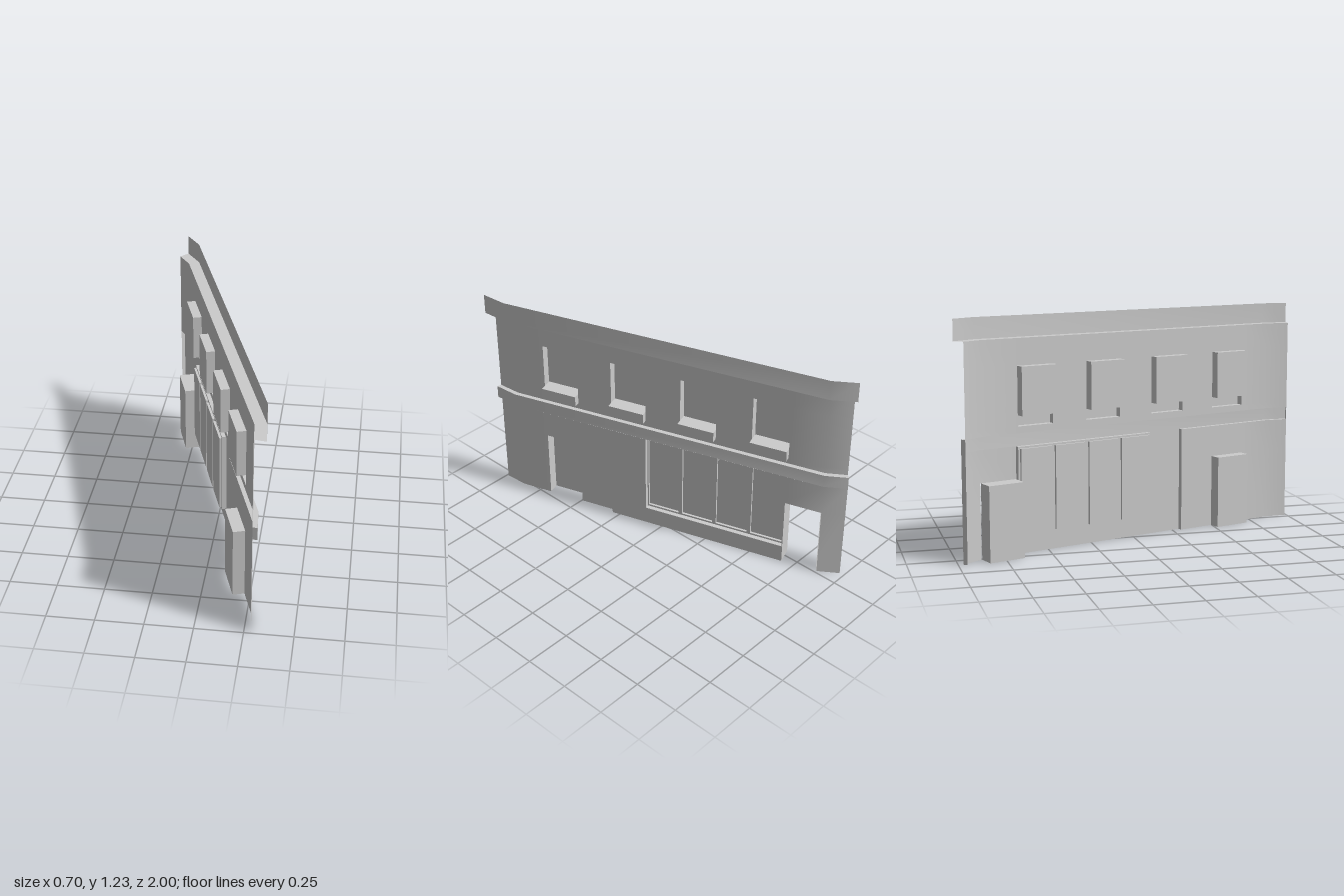
import * as THREE from 'three';
import { toCreasedNormals } from 'three/addons/utils/BufferGeometryUtils.js';

// Plan of the wall: [x, z, outward x, outward z] at its two ends and two bends
const KNOTS = [
  [0.285, 0.99, 0.985, 0.16],
  [0.275, 0.86, 0.98, -0.1],
  [-0.285, -0.86, 0.89, -0.46],
  [-0.35, -0.955, 0.667, -0.75],
];
const END0 = KNOTS[0][1], BEND0 = KNOTS[1][1], BEND1 = KNOTS[2][1], END1 = KNOTS[3][1];

// Point on the facade: s = position along the wall (its z), y = height, d = distance outward
function point(s, y, d) {
  const knot = KNOTS.find((k) => Math.abs(k[1] - s) < 1e-6);
  if (knot) return [knot[0] + d * knot[2], y, knot[1] + d * knot[3]];
  const i = s > BEND0 ? 0 : s > BEND1 ? 1 : 2;
  const a = KNOTS[i], b = KNOTS[i + 1];
  const t = (s - a[1]) / (b[1] - a[1]);
  const dx = b[0] - a[0], dz = b[1] - a[1], len = Math.hypot(dx, dz);
  return [a[0] + dx * t - (dz / len) * d, y, a[1] + dz * t + (dx / len) * d];
}

// Collects quads, corners counter-clockwise as seen from the face's front
class Sheet {
  constructor() { this.pos = []; }

  quad(a, b, c, e) {
    for (const p of [a, b, c, a, c, e]) this.pos.push(...point(...p));
    return this;
  }

  // Upright face from s0 to s1 (s0 > s1), facing outward
  face(s0, s1, y0, y1, d) {
    return this.quad([s0, y0, d], [s1, y0, d], [s1, y1, d], [s0, y1, d]);
  }

  // Level strip following the bends of the wall
  ledge(s0, s1, y, d0, d1, up) {
    const ss = span(s0, s1);
    for (let i = 0; i < ss.length - 1; i++) {
      const [a, b] = up ? [ss[i], ss[i + 1]] : [ss[i + 1], ss[i]];
      this.quad([a, y, d1], [b, y, d1], [b, y, d0], [a, y, d0]);
    }
    return this;
  }

  // Upright strip across the wall thickness; toEnd: facing the s0 (+z) end
  jamb(s, y0, y1, d0, d1, toEnd) {
    const [a, b] = toEnd ? [d0, d1] : [d1, d0];
    return this.quad([s, y0, a], [s, y0, b], [s, y1, b], [s, y1, a]);
  }

  // Wall with rectangular holes [s0, s1, y0, y1]
  wall(s0, s1, y0, y1, d, holes = []) {
    const ss = span(s0, s1, holes.flatMap((h) => [h[0], h[1]]));
    const ys = [...new Set([y0, y1, ...holes.flatMap((h) => [h[2], h[3]])])].sort((a, b) => a - b);
    for (let i = 0; i < ss.length - 1; i++) {
      for (let j = 0; j < ys.length - 1; j++) {
        const s = (ss[i] + ss[i + 1]) / 2, y = (ys[j] + ys[j + 1]) / 2;
        if (holes.some((h) => s < h[0] && s > h[1] && y > h[2] && y < h[3])) continue;
        this.face(ss[i], ss[i + 1], ys[j], ys[j + 1], d);
      }
    }
    return this;
  }

  // Recess from depth d0 back to d1, closed by a panel
  recess([s0, s1, y0, y1], d0, d1, panel = true, floor = true) {
    this.jamb(s0, y0, y1, d1, d0, false).jamb(s1, y0, y1, d1, d0, true);
    this.ledge(s0, s1, y1, d1, d0, false);
    if (floor) this.ledge(s0, s1, y0, d1, d0, true);
    if (panel) this.face(s0, s1, y0, y1, d1);
    return this;
  }

  mesh(name, side = THREE.DoubleSide) {
    let g = new THREE.BufferGeometry();
    g.setAttribute('position', new THREE.Float32BufferAttribute(this.pos, 3));
    g = toCreasedNormals(g, 0.6);
    const m = new THREE.Mesh(g, new THREE.MeshStandardMaterial({ color: 0xcccccc, side }));
    m.name = name;
    return m;
  }
}

// Sorted stops from s0 down to s1, including the bends between them
function span(s0, s1, extra = []) {
  return [...new Set([s0, s1, BEND0, BEND1, ...extra])]
    .filter((s) => s <= s0 && s >= s1).sort((a, b) => b - a);
}

export function createModel() {
  const model = new THREE.Group();
  const add = (sheet, name, side) => model.add(sheet.mesh(name, side));

  const bandLow = 0.565, bandHigh = 0.635, wallTop = 1.12, top = 1.23;
  const proud = 0.025, corniceOut = 0.061, shopStart = 0.3;
  const sillLow = 0.67, sillTop = 0.728, windowTop = 0.98;
  const windows = [0, 1, 2, 3].map((i) => [0.692 - i * 0.388, 0.496 - i * 0.388]);
  const sideDoor = [0.692, 0.496, 0, 0.395];
  const shopDoor = [-0.672, BEND1, 0, 0.395];
  const shopWindow = [0.1, -0.668, 0.1, bandLow];

  // Upper wall, cornice and band
  add(new Sheet().wall(END0, END1, bandHigh, wallTop, 0,
    windows.map(([a, b]) => [a, b, sillLow, windowTop])), 'upperWall');
  add(new Sheet().ledge(END0, END1, wallTop, 0, corniceOut, false)
    .wall(END0, END1, wallTop, top, corniceOut), 'cornice');
  add(new Sheet().wall(END0, END1, bandLow, bandHigh, proud)
    .ledge(END0, END1, bandHigh, 0, proud, true)
    .ledge(END0, shopStart, bandLow, 0, proud, false)
    .jamb(END0, bandLow, bandHigh, 0, proud, true)
    .jamb(END1, bandLow, bandHigh, 0, proud, false), 'band');

  // Upper windows with projecting sills
  const sillOut = 0.035;
  for (const [a, b] of windows) {
    add(new Sheet().recess([a, b, sillTop, windowTop], 0, -0.048), 'window');
    add(new Sheet().face(a, b, sillLow, sillTop, sillOut)
      .ledge(a, b, sillTop, 0, sillOut, true)
      .ledge(a, b, sillLow, 0, sillOut, false)
      .jamb(a, sillLow, sillTop, 0, sillOut, true)
      .jamb(b, sillLow, sillTop, 0, sillOut, false), 'windowSill');
  }

  // Lower wall with the side door
  add(new Sheet().wall(END0, shopStart, 0, bandLow, 0, [sideDoor]), 'lowerWall');
  add(new Sheet().recess(sideDoor, 0, -0.063, true, false), 'sideDoor');

  // Projecting shop front with its doorway
  add(new Sheet().wall(shopStart, END1, 0, bandLow, proud, [shopDoor, shopWindow])
    .jamb(shopStart, 0, bandLow, 0, proud, true)
    .jamb(END1, 0, bandLow, 0, proud, false), 'shopFront');
  const doorBack = -0.065;
  // The doorway keeps square jambs beside the bend
  const doorway = [shopDoor[0], BEND1 + 0.0001, 0, 0.395];
  add(new Sheet().recess(doorway, proud, doorBack, false, false), 'shopDoorway');
  const [s0, s1, y0, y1] = doorway;
  add(new Sheet().quad([s1, y0, doorBack], [s0, y0, doorBack], [s0, y1, doorBack], [s1, y1, doorBack]),
    'shopDoorBack', THREE.FrontSide);

  // Shop window: frame set back from the front, four panes set back from the frame
  const panes = [0, 1, 2, 3].map((i) => [0.094 - i * 0.193, -0.079 - i * 0.193, 0.11, 0.555]);
  add(new Sheet().recess(shopWindow, proud, 0, false)
    .wall(...shopWindow, 0, panes), 'shopWindowFrame');
  for (const pane of panes) add(new Sheet().recess(pane, 0, -0.013), 'shopPane');

  return model;
}
